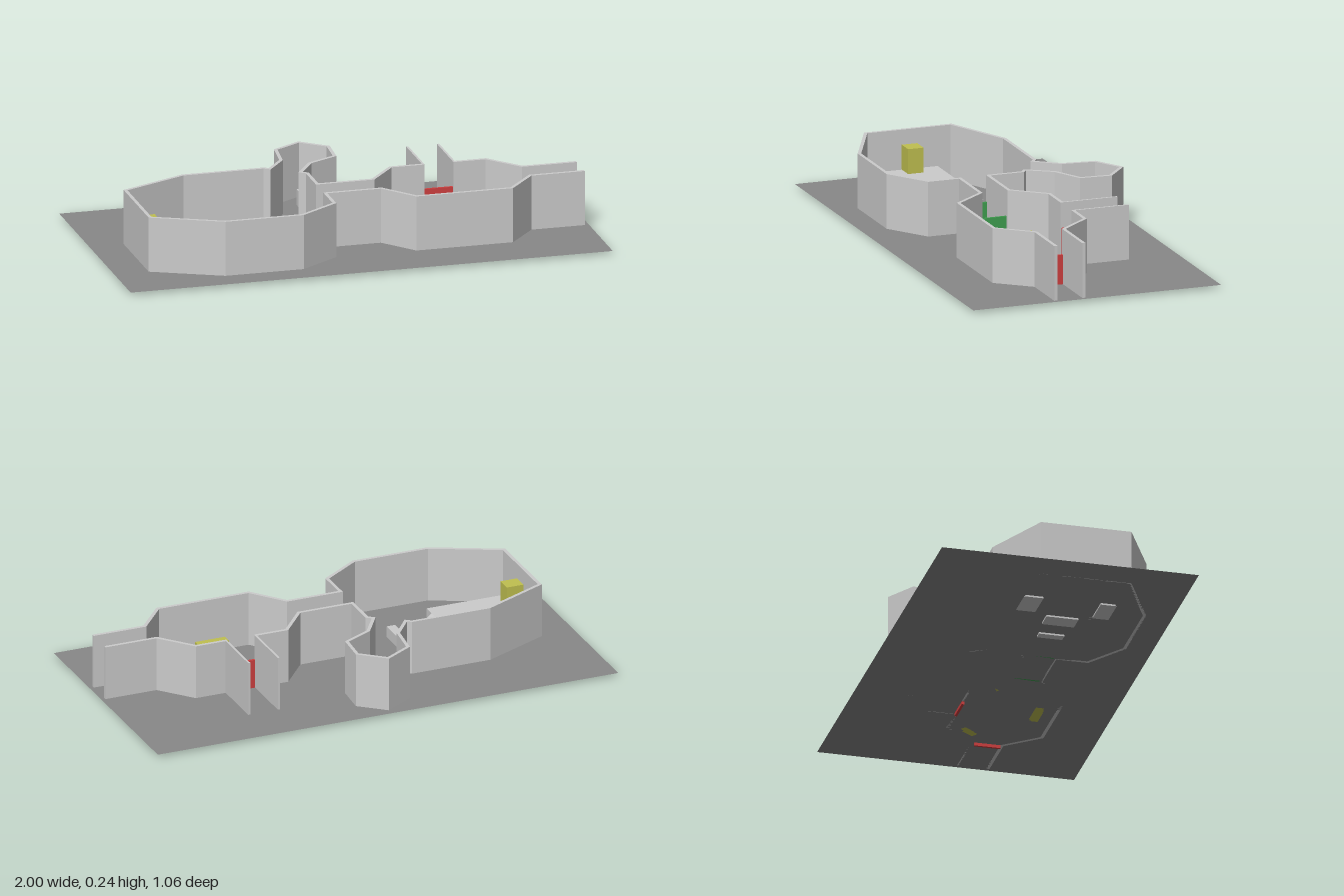
import * as THREE from 'three';

const FLOOR = 0.013, TOP = 0.24;
const mat = (color) => new THREE.MeshStandardMaterial({ color });
const grey = mat(0xcccccc), dark = mat(0x888888);
const red = mat(0xd04040), green = mat(0x40a050), yellow = mat(0xc0c050);

function add(group, name, geometry, material) {
  const mesh = new THREE.Mesh(geometry, material);
  mesh.name = name;
  group.add(mesh);
  return mesh;
}

// Box given by its centre in plan, its size and its lowest and highest points
function block(group, name, material, x, z, w, d, y0, y1, turn = 0) {
  const mesh = add(group, name, new THREE.BoxGeometry(w, y1 - y0, d), material);
  mesh.position.set(x, (y0 + y1) / 2, z);
  mesh.rotation.y = turn;
}

// Upright wall of even thickness along a path of [x, z] points, mitred at corners
function wall(group, name, path, thickness = 0.014) {
  const pts = path.map(([x, z]) => new THREE.Vector2(x, -z));
  const sides = [[], []];
  pts.forEach((p, i) => {
    const next = pts[i + 1] || p, prev = pts[i - 1] || p;
    let a = p.clone().sub(prev).normalize();
    let b = next.clone().sub(p).normalize();
    if (i === 0) a = b;
    if (i === pts.length - 1) b = a;
    const n = new THREE.Vector2(-a.y - b.y, a.x + b.x).normalize();
    const reach = thickness / 2 / (n.x * -a.y + n.y * a.x);
    sides[0].push(p.clone().addScaledVector(n, reach));
    sides[1].unshift(p.clone().addScaledVector(n, -reach));
  });
  const geo = new THREE.ExtrudeGeometry(new THREE.Shape([...sides[0], ...sides[1]]),
    { depth: TOP - FLOOR, bevelEnabled: false });
  geo.rotateX(-Math.PI / 2).translate(0, FLOOR, 0);
  add(group, name, geo, grey);
}

// Wedge whose high end touches the platform and which falls away along local +x
function ramp(group, name, x, z, length, width, turn) {
  const profile = new THREE.Shape([
    new THREE.Vector2(0, 0.006), new THREE.Vector2(length, 0.006), new THREE.Vector2(0, 0.075)]);
  const geo = new THREE.ExtrudeGeometry(profile, { depth: width, bevelEnabled: false });
  geo.translate(0, 0, -width / 2);
  const mesh = add(group, name, geo, grey);
  mesh.position.set(x, 0, z);
  mesh.rotation.y = turn;
}

export function createModel() {
  const model = new THREE.Group();
  model.name = 'floorPlan';

  // Ground
  const ground = new THREE.PlaneGeometry(2, 1.06).rotateX(-Math.PI / 2).translate(0, FLOOR, 0);
  dark.side = THREE.DoubleSide;
  add(model, 'ground', ground, dark);

  // Continuous wall: east passage, arena, corridor, hall, alcove and back to the arena
  wall(model, 'mainWall', [
    [0.983, 0.17], [0.758, 0.17], [0.644, 0.306], [0.249, 0.306], [0.14, 0.17],
    [-0.092, 0.17], [-0.092, 0.305], [-0.254, 0.416], [-0.575, 0.416], [-0.851, 0.284],
    [-0.851, -0.08], [-0.578, -0.206], [-0.242, -0.206], [-0.222, -0.19],
    [-0.148, -0.287], [-0.132, -0.424], [-0.018, -0.492], [0.082, -0.408],
    [0.073, -0.282], [-0.047, -0.22], [-0.114, -0.116], [-0.092, -0.098],
    [-0.092, 0.05], [0.14, 0.05], [0.249, -0.083], [0.387, -0.083],
  ]);
  wall(model, 'arenaBackWall', [
    [0.51, -0.083], [0.644, -0.083], [0.758, 0.05], [0.983, 0.05],
  ]);

  // North passage
  for (const x of [0.385, 0.513]) {
    wall(model, 'northPassageWall', [[x, -0.32], [x, -0.083]], 0.009);
  }

  // Doors
  block(model, 'eastDoor', red, 0.76, 0.11, 0.01, 0.108, 0, 0.135);
  block(model, 'northDoor', red, 0.449, -0.085, 0.118, 0.01, 0, 0.135);
  for (const x of [-0.092, 0.13]) {
    block(model, 'corridorDoor', green, x, 0.11, 0.009, 0.108, FLOOR, 0.13);
  }

  // Raised platform with three ramps
  block(model, 'platform', grey, -0.663, 0.098, 0.356, 0.236, FLOOR, 0.075);
  ramp(model, 'eastRamp', -0.485, 0.1, 0.075, 0.132, 0);
  ramp(model, 'northRamp', -0.58, -0.02, 0.08, 0.134, Math.PI / 2);
  ramp(model, 'southRamp', -0.58, 0.216, 0.066, 0.134, -Math.PI / 2);

  // Loose blocks in the rooms
  block(model, 'platformBlock', yellow, -0.807, 0.1, 0.072, 0.066, 0.075, 0.178);
  block(model, 'hallBench', grey, -0.302, 0.098, 0.036, 0.104, 0.006, 0.06);
  block(model, 'alcoveBlock', grey, -0.033, -0.358, 0.047, 0.045, FLOOR, 0.08);
  block(model, 'arenaCover', yellow, 0.262, 0, 0.044, 0.042, FLOOR, 0.09, 0.5);
  block(model, 'arenaCover', yellow, 0.663, 0.008, 0.034, 0.082, FLOOR, 0.09, 0.64);
  block(model, 'arenaCover', yellow, 0.44, 0.232, 0.13, 0.04, FLOOR, 0.09);

  return model;
}
